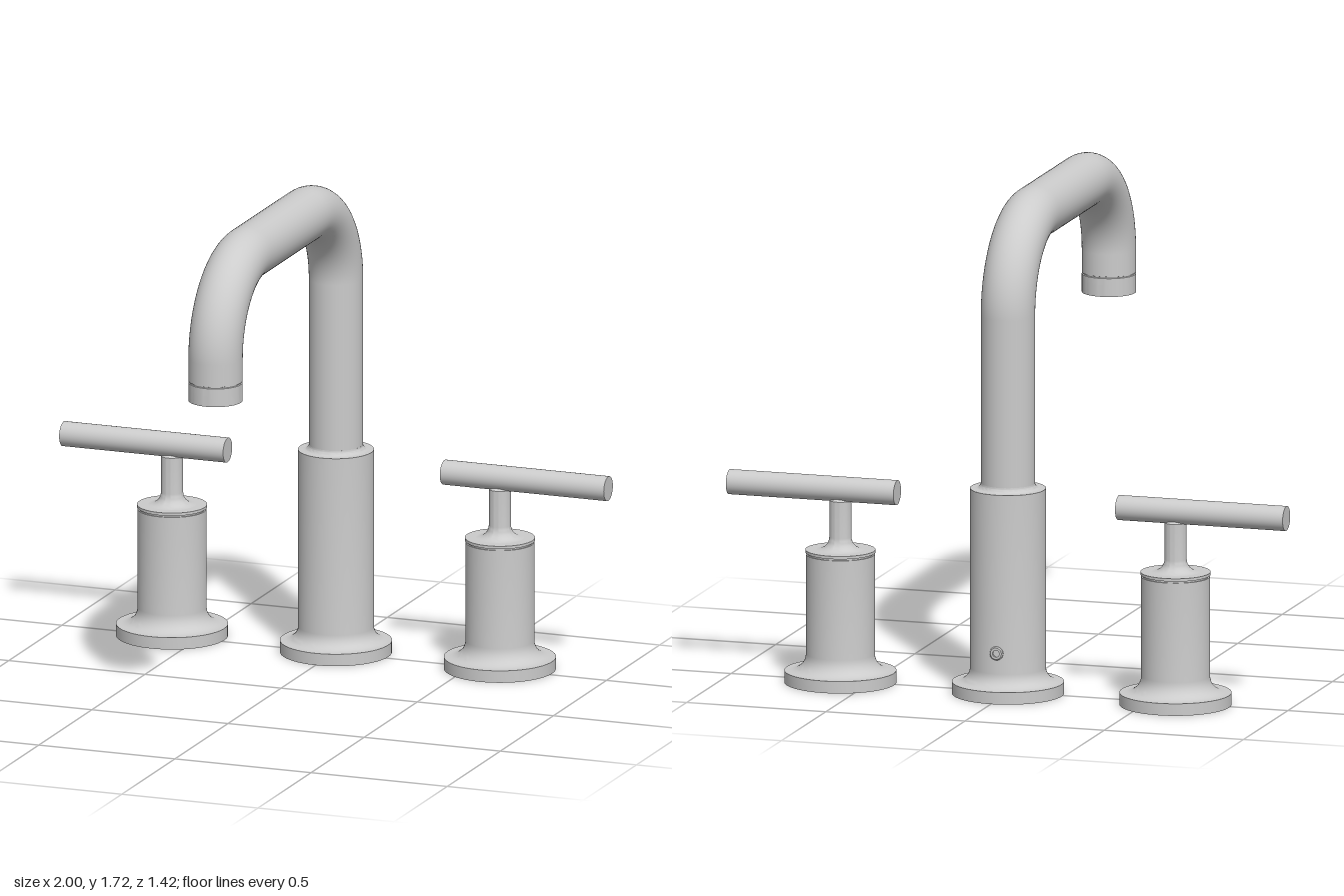
import * as THREE from 'three';
import { toCreasedNormals } from 'three/addons/utils/BufferGeometryUtils.js';

const material = new THREE.MeshStandardMaterial({ color: 0xcccccc });
const BACK = -0.517; // z of the three mounting axes

function addMesh(parent, name, geometry, x = 0, y = 0, z = 0) {
  const mesh = new THREE.Mesh(geometry, material);
  mesh.name = name;
  mesh.position.set(x, y, z);
  parent.add(mesh);
  return mesh;
}

// Turned part with crisp edges, profile listed from bottom to top
function turned(profile, segments = 64) {
  const points = profile.map(([r, y]) => new THREE.Vector2(r, y));
  return toCreasedNormals(new THREE.LatheGeometry(points, segments), 0.5);
}

// Concave fillet from (r + f, y) sweeping up to (r, y + f)
function fillet(r, y, f, steps = 8) {
  return Array.from({ length: steps + 1 }, (_, i) => {
    const a = (i / steps) * Math.PI / 2;
    return [r + f - f * Math.sin(a), y + f - f * Math.cos(a)];
  });
}

function createSpout() {
  const spout = new THREE.Group();
  spout.name = 'spout';

  // Flanged column with a small collar around the pipe
  addMesh(spout, 'spoutColumn', turned([
    [0, 0], [0.192, 0], [0.192, 0.042], ...fillet(0.13, 0.042, 0.05),
    [0.13, 0.718], ...fillet(0.093, 0.718, 0.018), [0.09, 0.736],
  ]), 0, 0, BACK);

  // Bent pipe: up, forward and down
  const v = (y, z) => new THREE.Vector3(0, y, z);
  const front = 0.617, top = 1.622, bend = 0.3, outletY = 1.175;
  const k = bend * 0.4477; // distance of arc handles from the sharp corner
  const path = new THREE.CurvePath();
  path.add(new THREE.LineCurve3(v(0.7, BACK), v(top - bend, BACK)));
  path.add(new THREE.CubicBezierCurve3(v(top - bend, BACK), v(top - k, BACK),
    v(top, BACK + k), v(top, BACK + bend)));
  path.add(new THREE.LineCurve3(v(top, BACK + bend), v(top, front - bend)));
  path.add(new THREE.CubicBezierCurve3(v(top, front - bend), v(top, front - k),
    v(top - k, front), v(top - bend, front)));
  path.add(new THREE.LineCurve3(v(top - bend, front), v(outletY + 0.07, front)));
  addMesh(spout, 'spoutPipe', new THREE.TubeGeometry(path, 140, 0.093, 48, false));

  // Outlet tip with a recessed aerator and a fine seam
  addMesh(spout, 'outletTip', turned([
    [0, 0.03], [0.058, 0.03], [0.058, 0.012], [0.074, 0.012], [0.078, 0],
    [0.093, 0], [0.093, 0.064], [0.09, 0.066], [0.09, 0.069], [0.093, 0.071],
  ]), 0, outletY, front);

  // Set screw on the back of the column
  const screw = addMesh(spout, 'setScrew', turned([
    [0, 0], [0.024, 0], [0.024, 0.018], [0.02, 0.022],
    [0.012, 0.022], [0.012, 0.012], [0, 0.012],
  ], 24), 0, 0.165, BACK - 0.115);
  screw.rotation.x = -Math.PI / 2;
  return spout;
}

function createHandle(name, x) {
  const handle = new THREE.Group();
  handle.name = name;
  handle.position.set(x, 0, BACK);

  // Flanged body, narrow groove below the cap
  addMesh(handle, 'handleBody', turned([
    [0, 0], [0.192, 0], [0.192, 0.042], ...fillet(0.118, 0.042, 0.058),
    [0.118, 0.448], [0.113, 0.448], [0.113, 0.454], [0.12, 0.454],
    [0.12, 0.464], [0, 0.464],
  ]));

  // Stem flaring onto the cap
  addMesh(handle, 'handleStem', turned([
    ...fillet(0.038, 0.464, 0.044), [0.038, 0.636], [0.02, 0.65], [0, 0.655],
  ], 40));

  // Horizontal lever bar
  const bar = addMesh(handle, 'handleBar',
    new THREE.CylinderGeometry(0.043, 0.043, 0.602, 40), Math.sign(x) * 0.097, 0.675, 0);
  bar.rotation.z = Math.PI / 2;
  return handle;
}

export function createModel() {
  const model = new THREE.Group();
  model.name = 'widespreadFaucet';
  model.add(createSpout(), createHandle('leftHandle', 0.602), createHandle('rightHandle', -0.602));
  return model;
}
